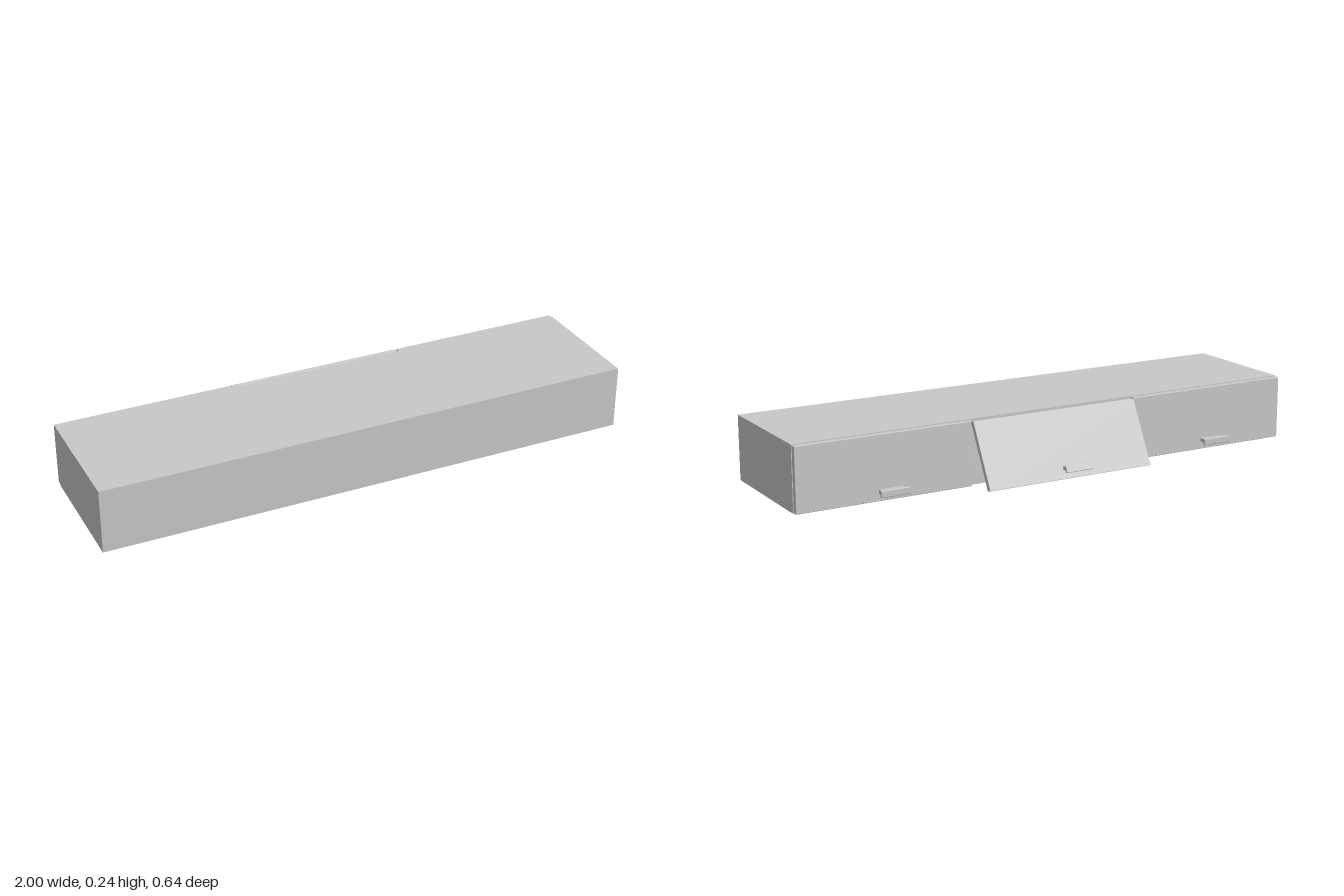
import * as THREE from 'three';
import { RoundedBoxGeometry } from 'three/addons/geometries/RoundedBoxGeometry.js';

const grey = new THREE.MeshStandardMaterial({ color: 0xc8c8c8 });
grey.name = 'light grey';

const DOOR_W = 0.664, DOOR_H = 0.234, DOOR_T = 0.02;
const STRETCH = 1.63; // depth stretch that skews the open flap

function part(name, geometry, x, y, z) {
  const mesh = new THREE.Mesh(geometry, grey);
  mesh.name = name;
  mesh.position.set(x, y, z);
  return mesh;
}

// Flap door hanging from its inner top edge, facing -z
function makeDoor(name) {
  const door = new THREE.Group();
  door.name = name;
  door.add(part('doorPanel', new RoundedBoxGeometry(DOOR_W, DOOR_H, DOOR_T, 2, 0.002), 0, -DOOR_H / 2, -DOOR_T / 2));
  // handle: solid stem with a wider grip plate, slightly off centre
  const handle = new THREE.Group();
  handle.name = 'handle';
  handle.position.set(-0.016, -0.198, -DOOR_T);
  handle.add(part('handleStem', new THREE.BoxGeometry(0.09, 0.013, 0.036), 0, 0, -0.02));
  handle.add(part('handleGrip', new RoundedBoxGeometry(0.112, 0.025, 0.01, 2, 0.003), 0, 0, -0.039));
  door.add(handle);
  return door;
}

export function createModel() {
  const model = new THREE.Group();
  model.name = 'wallCabinet';

  // Cabinet body
  model.add(part('cabinetBody', new THREE.BoxGeometry(2, 0.238, 0.466), 0, 0.119, 0.087));

  // Closed doors on both sides
  for (const [name, x] of [['rightDoor', -0.667], ['leftDoor', 0.667]]) {
    const door = makeDoor(name);
    door.position.set(x, 0.236, -0.148);
    model.add(door);
  }

  // Middle door, tilted open about its top edge
  const hinge = new THREE.Group();
  hinge.name = 'openDoorHinge';
  hinge.position.set(-0.001, 0.231, -0.152);
  hinge.scale.z = STRETCH;
  const tilt = new THREE.Group();
  tilt.name = 'openDoorTilt';
  tilt.rotation.x = THREE.MathUtils.degToRad(18);
  const middle = makeDoor('middleDoor');
  middle.scale.z = 1 / STRETCH;
  tilt.add(middle);
  hinge.add(tilt);
  model.add(hinge);

  return model;
}
